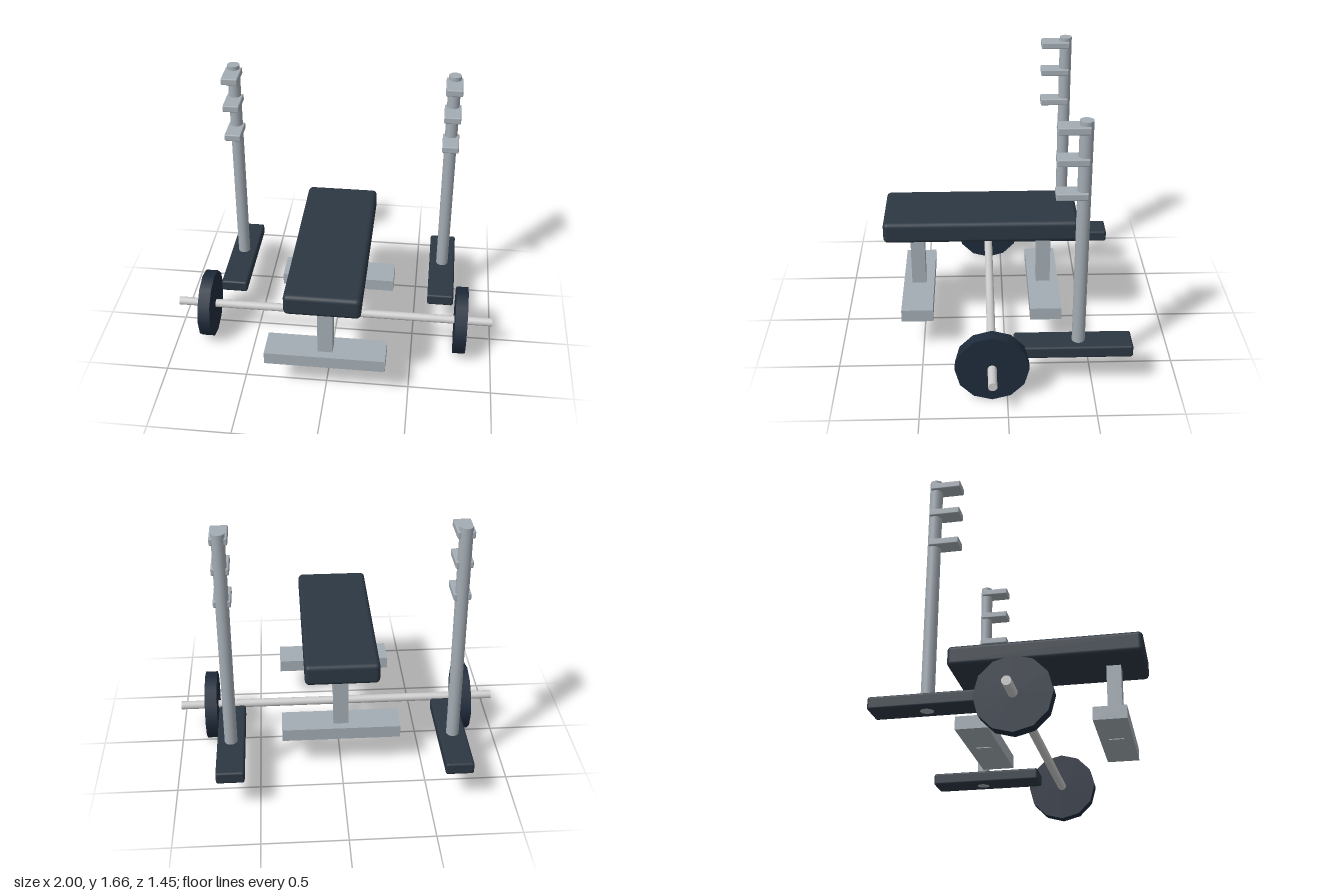
import * as THREE from 'three';
import { RoundedBoxGeometry } from 'three/addons/geometries/RoundedBoxGeometry.js';

const steel = new THREE.MeshStandardMaterial({ color: 0xa3acb3 });
const chrome = new THREE.MeshStandardMaterial({ color: 0xcccccc });
const padding = new THREE.MeshStandardMaterial({ color: 0x2c3742 });
const iron = new THREE.MeshStandardMaterial({ color: 0x1f2b3b });

export function createModel() {
  const model = new THREE.Group();
  model.name = 'benchPress';

  const add = (name, geometry, material, x, y, z) => {
    const mesh = new THREE.Mesh(geometry, material);
    mesh.name = name;
    mesh.position.set(x, y, z);
    model.add(mesh);
  };
  // Box given by its extents, with an optional rounded edge
  const box = (name, material, [x0, x1], [y0, y1], [z0, z1], round = 0) => {
    const size = [x1 - x0, y1 - y0, z1 - z0];
    const geometry = round ? new RoundedBoxGeometry(...size, 3, round) : new THREE.BoxGeometry(...size);
    add(name, geometry, material, (x0 + x1) / 2, (y0 + y1) / 2, (z0 + z1) / 2);
  };

  // Padded bench
  box('benchPad', padding, [-0.22, 0.22], [0.68, 0.812], [-0.445, 0.722], 0.028);

  // Bench legs on wide cross feet
  for (const [side, z] of [['front', 0.53], ['back', -0.247]]) {
    box(side + 'Leg', steel, [-0.045, 0.045], [0.215, 0.7], [z - 0.043, z + 0.043]);
    box(side + 'Foot', steel, [-0.36, 0.36], [0.22, 0.298], [z - 0.095, z + 0.095]);
  }

  // Rack uprights with base and three bar rests
  for (const [side, s] of [['left', 1], ['right', -1]]) {
    const x = s * 0.667;
    box(side + 'Base', padding, [x - 0.083, x + 0.083], [0.215, 0.29], [-0.724, -0.042], 0.014);
    add(side + 'Upright', new THREE.CylinderGeometry(0.038, 0.038, 1.445, 24), steel, x, 0.9375, -0.413);
    for (const y of [1.235, 1.435, 1.615]) {
      box(side + 'BarRest', steel, [x - 0.05, x + 0.05], [y - 0.021, y + 0.021], [-0.435, -0.26], 0.007);
    }
    // Weight plate
    add(side + 'Plate', new THREE.CylinderGeometry(0.212, 0.212, 0.075, 12).rotateZ(Math.PI / 2),
      iron, s * 0.8, 0.212, 0.087);
  }

  // Barbell
  add('bar', new THREE.CylinderGeometry(0.026, 0.026, 2, 20).rotateZ(Math.PI / 2), chrome, 0, 0.213, 0.087);

  return model;
}
